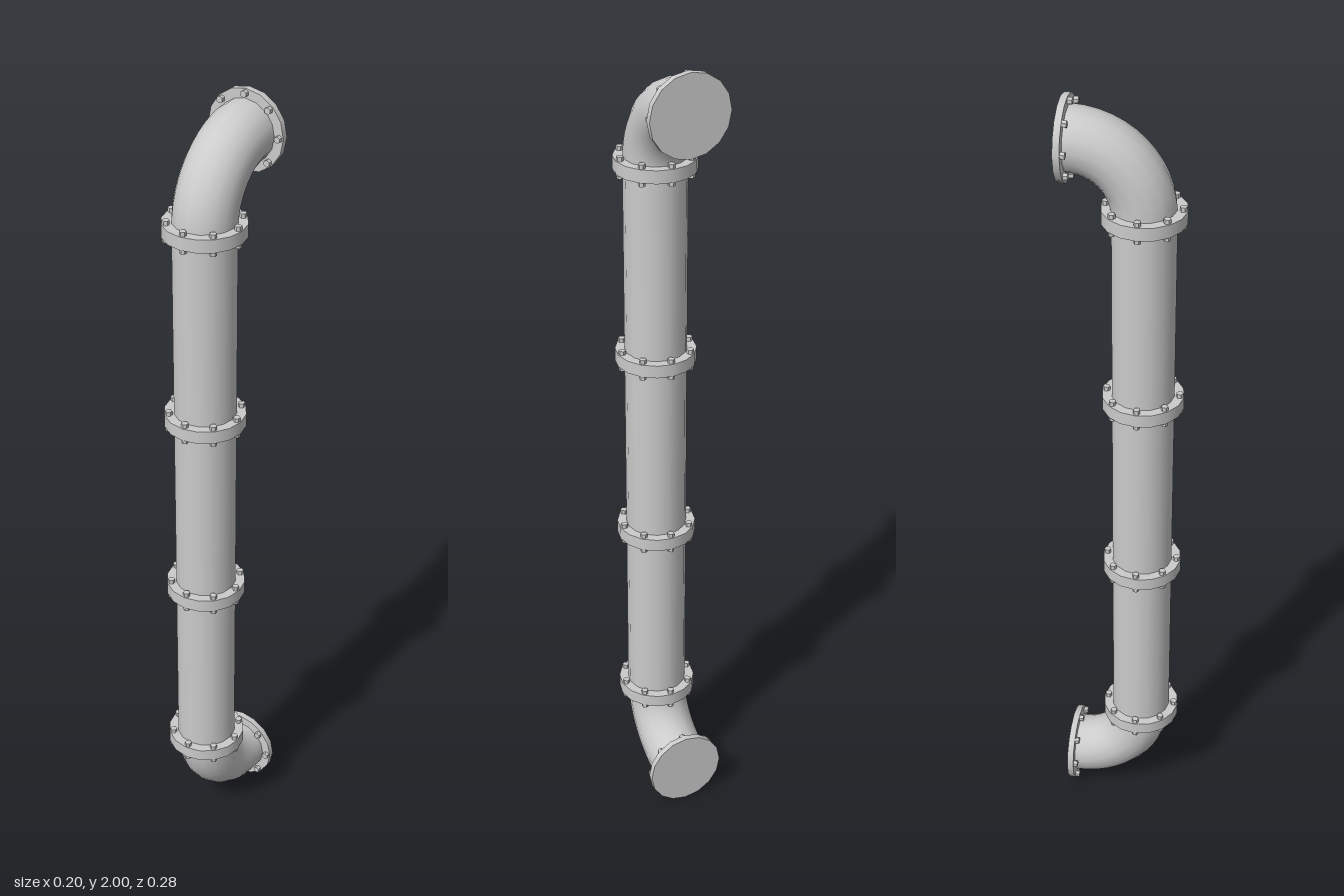
import * as THREE from 'three';

const PIPE_R = 0.075, PIPE_Z = 0.041, BEND_R = 0.168;
const FLANGE_R = 0.098, FLANGE_T = 0.016;
const BOLT_R = 0.0085, BOLT_H = 0.0105, BOLT_RING = 0.0875;
const JOINT_Y = 0.734; // outer joints, measured from mid height

const material = new THREE.MeshStandardMaterial({ color: 0xcccccc });
const boltMaterial = new THREE.MeshStandardMaterial({ color: 0xcccccc, flatShading: true });

function addMesh(parent, name, geometry, mat = material) {
  const mesh = new THREE.Mesh(geometry, mat);
  mesh.name = name;
  parent.add(mesh);
  return mesh;
}

// Flange plate rising from y = 0, with a ring of eight hex bolts on top
function createFlange(name) {
  const flange = new THREE.Group();
  flange.name = name;
  addMesh(flange, 'flangePlate', new THREE.CylinderGeometry(FLANGE_R, FLANGE_R, FLANGE_T, 16))
    .position.y = FLANGE_T / 2;
  for (let i = 0; i < 8; i++) {
    const a = (i * Math.PI) / 4;
    addMesh(flange, 'bolt', new THREE.CylinderGeometry(BOLT_R, BOLT_R, BOLT_H, 6), boltMaterial)
      .position.set(Math.sin(a) * BOLT_RING, FLANGE_T + BOLT_H / 2, Math.cos(a) * BOLT_RING);
  }
  return flange;
}

// Two flanges bolted back to back
function createJoint(y) {
  const joint = new THREE.Group();
  joint.name = 'pipeJoint';
  const lower = createFlange('lowerFlange');
  lower.rotation.z = Math.PI;
  joint.add(createFlange('upperFlange'), lower);
  joint.position.set(0, y, PIPE_Z);
  return joint;
}

// Quarter bend leading back to a wall flange
function createElbow(name) {
  const elbow = new THREE.Group();
  elbow.name = name;
  const bend = new THREE.TorusGeometry(BEND_R, PIPE_R, 16, 12, Math.PI / 2);
  bend.rotateY(-Math.PI / 2);
  addMesh(elbow, 'bend', bend).position.set(0, JOINT_Y, PIPE_Z - BEND_R);
  const wallFlange = createFlange('wallFlange');
  wallFlange.rotation.x = Math.PI / 2;
  wallFlange.position.set(0, JOINT_Y + BEND_R, PIPE_Z - BEND_R - FLANGE_T);
  elbow.add(wallFlange);
  return elbow;
}

export function createModel() {
  const model = new THREE.Group();
  model.name = 'wallPipe';
  const pipe = new THREE.Group();
  pipe.name = 'pipeAssembly';
  pipe.position.y = 1;
  model.add(pipe);

  // Three straight lengths with a joint at every end
  const length = (2 * JOINT_Y) / 3;
  for (let i = 0; i < 4; i++) {
    const y = -JOINT_Y + i * length;
    pipe.add(createJoint(y));
    if (i < 3) {
      addMesh(pipe, 'straightPipe', new THREE.CylinderGeometry(PIPE_R, PIPE_R, length, 16, 1, true))
        .position.set(0, y + length / 2, PIPE_Z);
    }
  }

  // Elbows at top and bottom
  const bottom = createElbow('bottomElbow');
  bottom.rotation.z = Math.PI;
  pipe.add(createElbow('topElbow'), bottom);
  return model;
}
